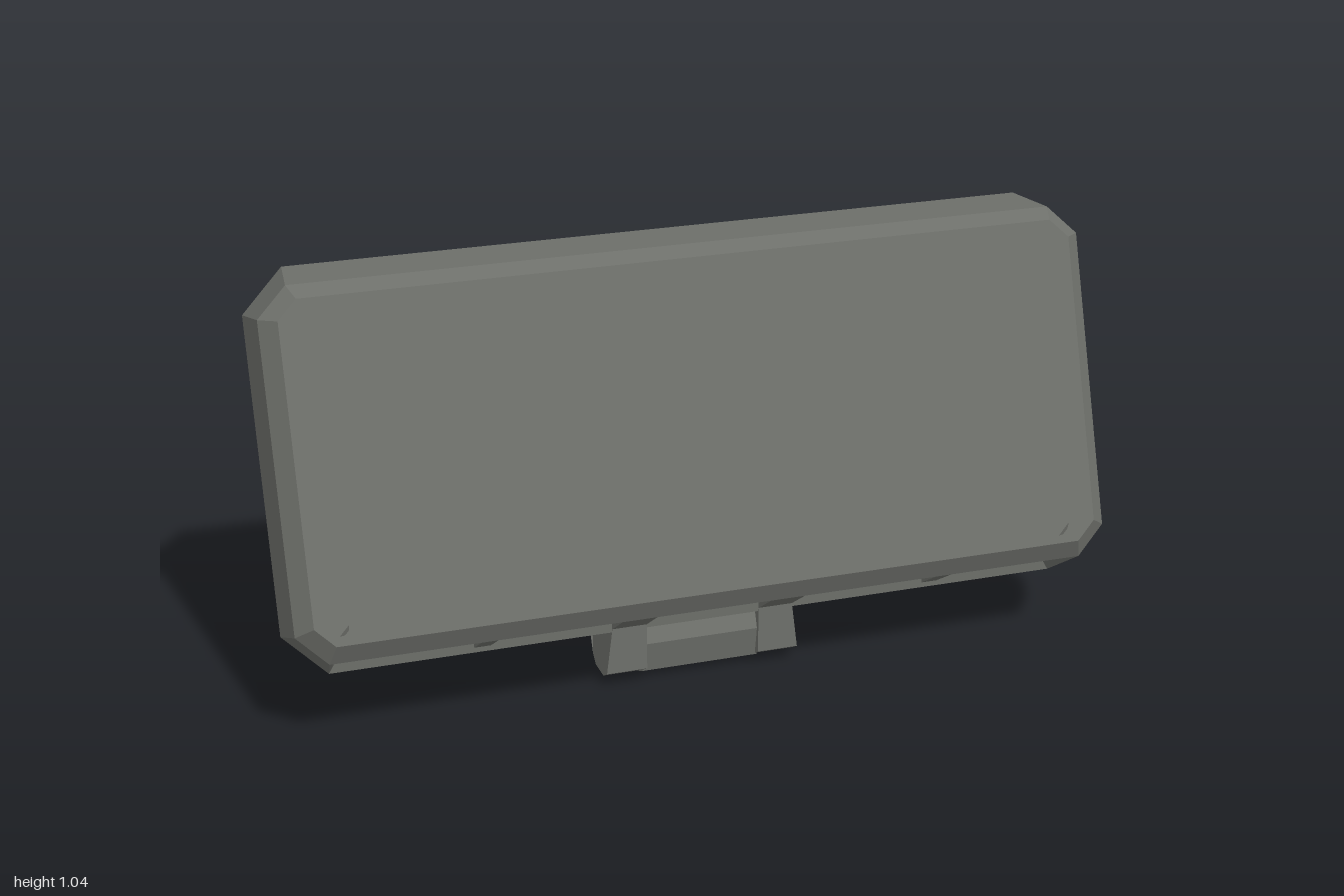
import * as THREE from 'three';

const grey = new THREE.MeshStandardMaterial({ color: 0x6e706b, flatShading: true, side: THREE.DoubleSide });
grey.name = 'grey plastic';

function add(parent, geometry, name) {
  const mesh = new THREE.Mesh(geometry, grey);
  mesh.name = name;
  parent.add(mesh);
  return mesh;
}

// Flat-shaded geometry from a list of polygons
function fromPolygons(polygons) {
  const pos = [];
  for (const p of polygons)
    for (let i = 1; i < p.length - 1; i++) pos.push(...p[0], ...p[i], ...p[i + 1]);
  const g = new THREE.BufferGeometry();
  g.setAttribute('position', new THREE.Float32BufferAttribute(pos, 3));
  g.computeVertexNormals();
  return g;
}

// Rectangle with cut corners, counter-clockwise from the lower edge
const ring = (x, bottom, top, cut, z) => [
  [-x + cut, bottom, z], [x - cut, bottom, z], [x, bottom + cut, z], [x, top - cut, z],
  [x - cut, top, z], [-x + cut, top, z], [-x, top - cut, z], [-x, bottom + cut, z],
];

// Side profile of [z, y] points, extruded along x
function slab(parent, points, x, width, name) {
  const shape = new THREE.Shape(points.map(([z, y]) => new THREE.Vector2(z, y)));
  const g = new THREE.ExtrudeGeometry(shape, { depth: width, bevelEnabled: false });
  g.rotateY(-Math.PI / 2);
  g.translate(x + width / 2, 0, 0);
  return add(parent, g, name);
}

export function createModel() {
  const model = new THREE.Group();
  model.name = 'tiltedHousing';

  // Everything in the housing leans back
  const housing = new THREE.Group();
  housing.name = 'housing';
  housing.rotation.x = -0.357;
  model.add(housing);

  // Shell: front face, bevels, outer walls, back rim, then the cavity
  const opening = [
    [-0.87, 0.19, 0.095], [0.82, 0.19, 0.095], [0.88, 0.26, 0.095], [0.88, 0.6, 0.095],
    [0.54, 0.93, 0.095], [-0.84, 0.91, 0.095], [-0.92, 0.84, 0.095], [-0.92, 0.25, 0.095],
  ];
  const cavityFloor = opening.map(([x, y]) => [x * 0.95, 0.57 + (y - 0.57) * 0.87, 0.3]);
  const rings = [
    ring(0.945, 0.2, 0.975, 0.045, 0.331),
    ring(0.985, 0.157, 1.007, 0.07, 0.29),
    ring(1.0, 0.112, 1.05, 0.1, 0.13),
    ring(0.945, 0.14, 0.985, 0.06, 0.095),
    opening,
    cavityFloor,
  ];
  const faces = [rings[0], [...cavityFloor].reverse()];
  for (let k = 0; k < rings.length - 1; k++) {
    const a = rings[k], b = rings[k + 1];
    for (let i = 0; i < 8; i++) {
      if (k === 1 && i === 0) continue; // left open for the underside pocket
      const j = (i + 1) % 8;
      faces.push([a[i], b[i], b[j]], [a[i], b[j], a[j]]);
    }
  }
  add(housing, fromPolygons(faces), 'shell');

  // Shallow pocket along the underside: [half width, y, z]
  const section = [[0.915, 0.157, 0.29], [0.88, 0.19, 0.255], [0.86, 0.195, 0.18], [0.87, 0.16, 0.15], [0.9, 0.112, 0.13]];
  const left = section.map(([x, y, z]) => [x, y, z]);
  const right = section.map(([x, y, z]) => [-x, y, z]);
  const pocket = [left, [...right].reverse()];
  for (let i = 0; i < section.length - 1; i++)
    pocket.push([right[i], right[i + 1], left[i + 1], left[i]]);
  add(housing, fromPolygons(pocket), 'undersidePocket');
  for (const x of [-0.54, 0.58])
    slab(housing, [[0.285, 0.16], [0.255, 0.195], [0.18, 0.2], [0.14, 0.125]], x, 0.04, 'undersideRib');

  // Small stiffening ribs on the cavity floor
  for (const side of [-1, 1])
    for (const y of [0.42, 0.54]) {
      const inner = [side * 0.5, y, 0.299], outer = side * 0.83;
      add(housing, fromPolygons([
        [[outer, y + 0.02, 0.299], inner, [outer, y, 0.24]],
        [[outer, y - 0.02, 0.299], inner, [outer, y, 0.24]],
      ]), 'cavityRib');
    }

  // Small raised clips in the corners of the front face
  for (const [x, y, size] of [[0.86, 0.235, 0.05], [-0.88, 0.235, 0.04]]) {
    const clip = add(housing, new THREE.TetrahedronGeometry(size * 0.5), 'frontClip');
    clip.position.set(x, y, 0.332);
    clip.scale.z = 0.7;
  }

  // Foot: two cheeks joined by a slightly recessed block
  const foot = new THREE.Group();
  foot.name = 'foot';
  model.add(foot);
  const cheek = [
    [0.21, 0.25], [0.085, 0.16], [0.085, 0.04], [0.05, 0.018], [-0.02, 0.012],
    [-0.045, 0.03], [-0.08, 0.1], [-0.1, 0.17], [-0.04, 0.2], [0.0, 0.22],
  ];
  for (const side of [-1, 1]) {
    const mesh = slab(foot, cheek, side * 0.19, 0.1, 'footCheek');
    // Outer side narrows toward the top
    const p = mesh.geometry.attributes.position;
    for (let i = 0; i < p.count; i++)
      if (Math.abs(p.getX(i)) > 0.2 && p.getY(i) > 0.12) p.setX(i, side * 0.225);
  }
  slab(foot, [
    [0.045, 0.17], [0.075, 0.1], [0.06, 0.02], [0.03, 0.004], [-0.02, 0],
    [-0.04, 0.02], [-0.07, 0.1], [-0.085, 0.16], [-0.02, 0.17],
  ], 0, 0.29, 'footBlock');

  return model;
}
